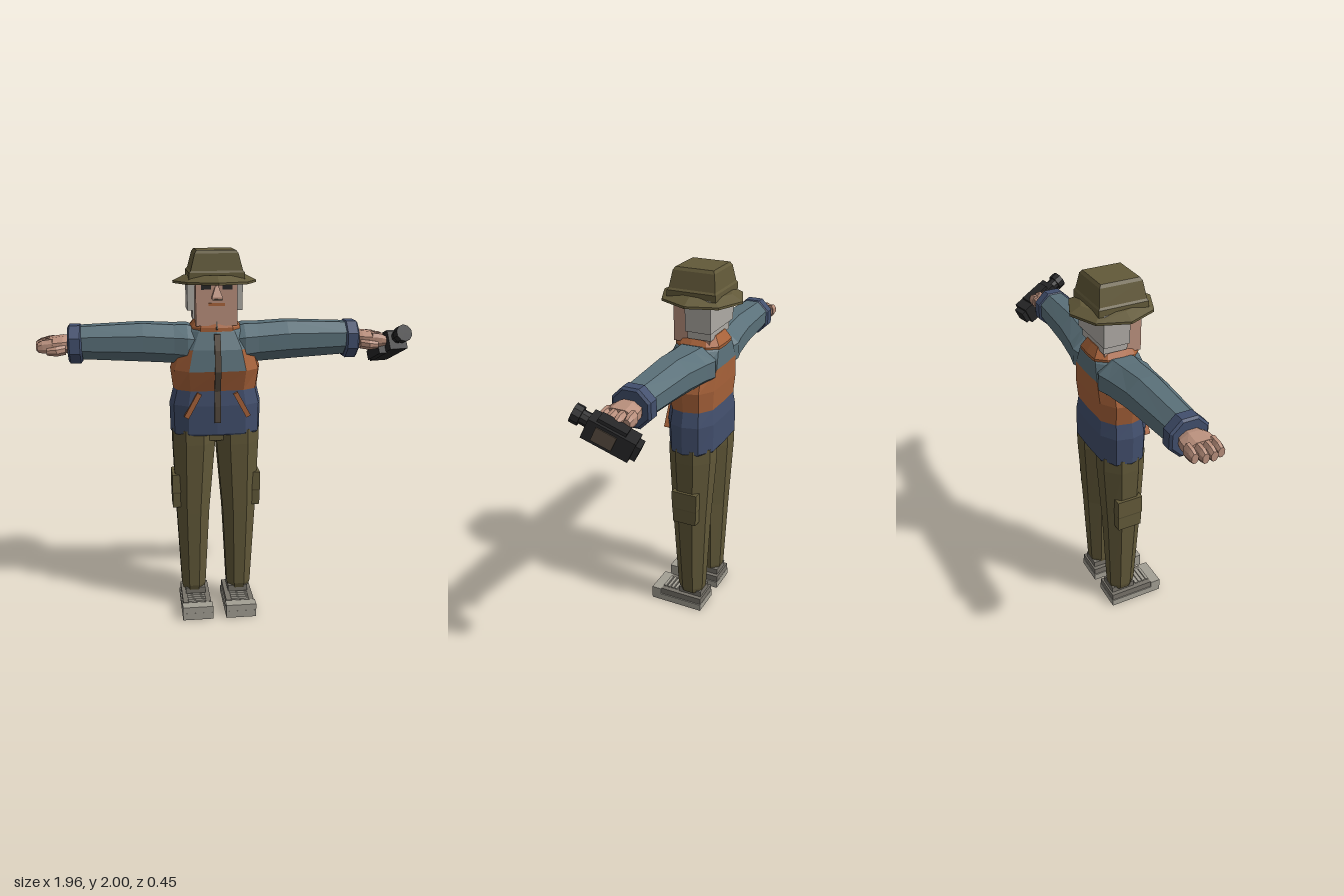
import * as THREE from 'three';

const mat = (name, color) => {
  const m = new THREE.MeshStandardMaterial({ color });
  m.name = name;
  return m;
};

export function createModel() {
  const olive = mat('olive cloth', 0x625939);
  const skin = mat('skin', 0xb98f7c);
  const orange = mat('orange cloth', 0xa9633a);
  const slate = mat('slate blue cloth', 0x5a7079);
  const navy = mat('navy cloth', 0x424f6d);
  const grey = mat('grey hair', 0xaeaaa4);
  const shoe = mat('shoe light', 0xa39f94);
  const shoeDark = mat('shoe dark', 0x77736a);
  const black = mat('camera black', 0x252526);
  const brown = mat('zip brown', 0x564b40);

  const model = new THREE.Group();
  model.name = 'manWithCamera';
  const body = new THREE.Group();
  body.name = 'body';
  body.position.x = -0.055;
  model.add(body);

  const add = (name, geo, material, parent = body) => {
    const mesh = new THREE.Mesh(geo, material);
    mesh.name = name;
    parent.add(mesh);
    return mesh;
  };
  const box = (name, m, w, h, d, x, y, z, parent) => {
    const mesh = add(name, new THREE.BoxGeometry(w, h, d), m, parent);
    mesh.position.set(x, y, z);
    return mesh;
  };

  // Faceted skin through closed rings; pick(i, j) chooses a material per face
  function loft(rings, pick) {
    const pos = [], geo = new THREE.BufferGeometry(), n = rings[0].length;
    const tri = (...p) => p.forEach(v => pos.push(...v));
    for (let i = 0; i < rings.length - 1; i++) {
      for (let j = 0; j < n; j++) {
        const k = (j + 1) % n, start = pos.length / 3;
        const a = rings[i][j], b = rings[i][k], c = rings[i + 1][k], d = rings[i + 1][j];
        tri(a, b, c); tri(a, c, d);
        if (pick) geo.addGroup(start, 6, pick(i, j));
      }
    }
    const start = pos.length / 3, first = rings[0], last = rings[rings.length - 1];
    for (let j = 1; j < n - 1; j++) {
      tri(first[0], first[j + 1], first[j]);
      tri(last[0], last[j], last[j + 1]);
    }
    if (pick) geo.addGroup(start, pos.length / 3 - start, 0);
    geo.setAttribute('position', new THREE.Float32BufferAttribute(pos, 3));
    geo.computeVertexNormals();
    return geo;
  }

  // Ring builders: horizontal octagon, horizontal rectangle, octagon across the arm
  const eighth = Array.from({ length: 8 }, (_, i) => (i + 0.5) * Math.PI / 4);
  const K = 1 / Math.cos(Math.PI / 8);
  const octY = ([y, cx, hx, hz, cz = 0]) =>
    eighth.map(a => [cx + Math.sin(a) * hx * K, y, cz + Math.cos(a) * hz * K]);
  const rectY = ([y, cx, hx, hz, cz = 0]) =>
    [[-1, 1], [1, 1], [1, -1], [-1, -1]].map(([u, v]) => [cx + u * hx, y, cz + v * hz]);
  const armLoft = (s, rows) => {
    const rings = rows.map(([x, cy, hy, hz, cz = 0]) =>
      eighth.map(a => [s * x, cy + Math.cos(a) * hy * K, cz + Math.sin(a) * hz * K]));
    return loft(s > 0 ? rings : rings.reverse());
  };

  // Jacket: twelve-sided bands with the yoke dipping on the chest
  const section = [[0, 1], [0.62, 0.92], [0.92, 0.55], [1, 0], [0.92, -0.6], [0.6, -0.97], [0, -1]];
  const full = [...section, ...section.slice(1, 6).reverse().map(([x, z]) => [-x, z])];
  const jacketRing = ([y, hw, zf, zb]) => full.map(([x, z]) => [x * hw, y, z > 0 ? z * zf : -z * zb]);
  const jacket = [
    [1.035, 0.236, 0.12, -0.135], [1.045, 0.243, 0.127, -0.142], [1.2, 0.246, 0.133, -0.142],
    [1.28, 0.226, 0.125, -0.133], [1.39, 0.24, 0.165, -0.142], [1.5, 0.205, 0.15, -0.147],
    [1.59, 0.15, 0.115, -0.14], [1.63, 0.1, 0.09, -0.11]].map(jacketRing);
  add('jacket', loft(jacket, (i, j) => {
    if (i < 3) return 0;
    if (i === 3) return 1;
    if (i === 4) return j === 0 || j === 11 ? 2 : 1;
    return 2;
  }), [navy, orange, slate]);

  // Collar and zip
  add('collar', loft([[1.57, 0.135, 0.115, -0.135], [1.61, 0.136, 0.115, -0.14],
    [1.66, 0.1, 0.095, -0.11]].map(jacketRing)), orange);
  add('zip', loft([[1.11, 0, 0.016, 0.012, 0.127], [1.2, 0, 0.016, 0.012, 0.132],
    [1.28, 0, 0.016, 0.012, 0.127], [1.39, 0, 0.016, 0.012, 0.165], [1.5, 0, 0.016, 0.012, 0.15],
    [1.58, 0, 0.016, 0.012, 0.121]].map(rectY)), brown);
  box('collarSeam', brown, 0.008, 0.05, 0.008, 0, 1.625, 0.108).rotation.x = -0.35;

  // Head, face and hair
  box('head', skin, 0.215, 0.25, 0.2, 0, 1.745, 0.006);
  box('hair', grey, 0.29, 0.17, 0.14, 0, 1.775, -0.045);
  box('hairLower', grey, 0.235, 0.06, 0.13, 0, 1.675, -0.04);
  add('nose', loft([[1.76, 0, 0.028, 0.022, 0.122], [1.77, 0, 0.027, 0.022, 0.122],
    [1.825, 0, 0.007, 0.006, 0.108]].map(rectY)), skin);
  box('noseShadowLine', brown, 0.05, 0.006, 0.008, 0, 1.758, 0.142);
  box('mouth', orange, 0.085, 0.014, 0.008, 0, 1.73, 0.107);
  for (const s of [-1, 1]) box('eye', black, 0.05, 0.025, 0.008, s * 0.055, 1.818, 0.107);

  // Hat: octagonal sloping brim and square tapered crown
  const brimRing = ([y, r]) => Array.from({ length: 8 }, (_, i) => {
    const a = i * Math.PI / 4;
    return [Math.sin(a) * r, y - Math.cos(a) * -0.006, Math.cos(a) * r - 0.007];
  });
  add('hatBrim', loft([[1.858, 0.14], [1.83, 0.219], [1.842, 0.219], [1.872, 0.16]].map(brimRing)), olive);
  add('hatCrown', loft([[1.855, 0, 0.143, 0.133, -0.007], [1.89, 0, 0.142, 0.132, -0.007],
    [1.9, 0, 0.133, 0.126, -0.007], [1.985, 0, 0.111, 0.113, -0.007],
    [2, 0, 0.1, 0.103, -0.007]].map(rectY)), olive);

  for (const s of [-1, 1]) {
    // Sleeve and cuff
    add('sleeve', armLoft(s, [[0.1, 1.51, 0.095, 0.12, -0.01], [0.15, 1.515, 0.105, 0.135, -0.012],
      [0.22, 1.52, 0.1, 0.122, -0.01], [0.38, 1.53, 0.1, 0.108, -0.006],
      [0.72, 1.533, 0.084, 0.088, -0.006]]), slate);
    add('cuff', armLoft(s, [[0.692, 1.525, 0.088, 0.088, -0.006], [0.702, 1.525, 0.098, 0.1, -0.006],
      [0.755, 1.525, 0.098, 0.1, -0.006], [0.765, 1.525, 0.086, 0.088, -0.006]]), navy);

    // Hand with four fingers and a thumb
    const hand = new THREE.Group();
    hand.name = s > 0 ? 'leftHand' : 'rightHand';
    body.add(hand);
    add('palm', armLoft(s, [[0.74, 1.525, 0.038, 0.055], [0.79, 1.525, 0.045, 0.075],
      [0.86, 1.523, 0.038, 0.082]]), skin, hand);
    for (let f = 0; f < 4; f++) {
      const z = -0.066 + f * 0.042, tip = [0.905, 0.925, 0.927, 0.915][f];
      add('finger', armLoft(s, [[0.84, 1.525, 0.036, 0.021, z], [tip - 0.025, 1.522, 0.033, 0.021, z],
        [tip, 1.518, 0.024, 0.017, z]]), skin, hand);
    }
    add('thumb', armLoft(s, [[0.775, 1.505, 0.025, 0.02, 0.06], [0.82, 1.5, 0.025, 0.022, 0.078],
      [0.87, 1.498, 0.018, 0.016, 0.074]]), skin, hand);

    // Slanted jacket pocket
    box('jacketPocket', orange, 0.026, 0.145, 0.03, s * 0.13, 1.205, 0.124).rotation.z = s * 0.5;

    // Trouser leg and cargo pocket
    add('trouserLeg', loft([[0.1, 0.128 * s, 0.06, 0.068, -0.006], [0.13, 0.128 * s, 0.067, 0.076, -0.004],
      [0.58, 0.128 * s, 0.09, 0.098, -0.004], [0.98, 0.119 * s, 0.115, 0.12, -0.008],
      [1.06, 0.119 * s, 0.115, 0.12, -0.008]].map(octY)), olive);
    add('cargoPocket', loft([[0.61, s * 0.215, 0.026, 0.068, -0.008], [0.69, s * 0.217, 0.024, 0.07, -0.008],
      [0.7, s * 0.217, 0.027, 0.073, -0.008], [0.8, s * 0.218, 0.024, 0.073, -0.008]].map(rectY)), olive);

    // Shoe: sole, toe block, upper, tongue and laces
    const x = s * 0.121;
    box('sole', shoe, 0.168, 0.04, 0.315, x, 0.02, 0.068);
    box('toe', shoe, 0.168, 0.04, 0.058, x, 0.056, 0.196);
    box('upper', shoeDark, 0.156, 0.04, 0.256, x, 0.058, 0.04);
    box('ankle', shoeDark, 0.11, 0.04, 0.14, x, 0.093, -0.008);
    for (let i = 0; i < 4; i++) box('lace', shoe, 0.1, 0.01, 0.016, x, 0.08, 0.085 + i * 0.024);
  }
  box('trouserSeat', olive, 0.1, 0.07, 0.17, 0, 1.03, -0.008);

  // Handheld video camera, tilted upward and pointing forward
  const cam = new THREE.Group();
  cam.name = 'videoCamera';
  cam.position.set(0.95, 1.475, -0.015);
  cam.lookAt(new THREE.Vector3(0.06, 0.13, 0.26).add(cam.position));
  body.add(cam);
  box('cameraBody', black, 0.105, 0.1, 0.23, 0, 0, 0, cam);
  box('cameraTop', black, 0.07, 0.02, 0.14, 0, 0.056, 0.01, cam);
  box('cameraGrip', black, 0.045, 0.05, 0.13, -0.07, -0.03, 0, cam);
  box('cameraScreen', brown, 0.006, 0.07, 0.1, 0.055, 0, 0.02, cam);
  box('battery', black, 0.08, 0.07, 0.03, 0, 0, -0.125, cam);
  for (const [name, r, len, z] of [['lensBarrel', 0.034, 0.06, 0.13], ['lensHood', 0.046, 0.04, 0.172]]) {
    const geo = new THREE.CylinderGeometry(r, r, len, 10).toNonIndexed();
    geo.computeVertexNormals();
    const lens = add(name, geo, black, cam);
    lens.rotation.x = Math.PI / 2;
    lens.position.set(0, 0.015, z);
  }
  return model;
}
